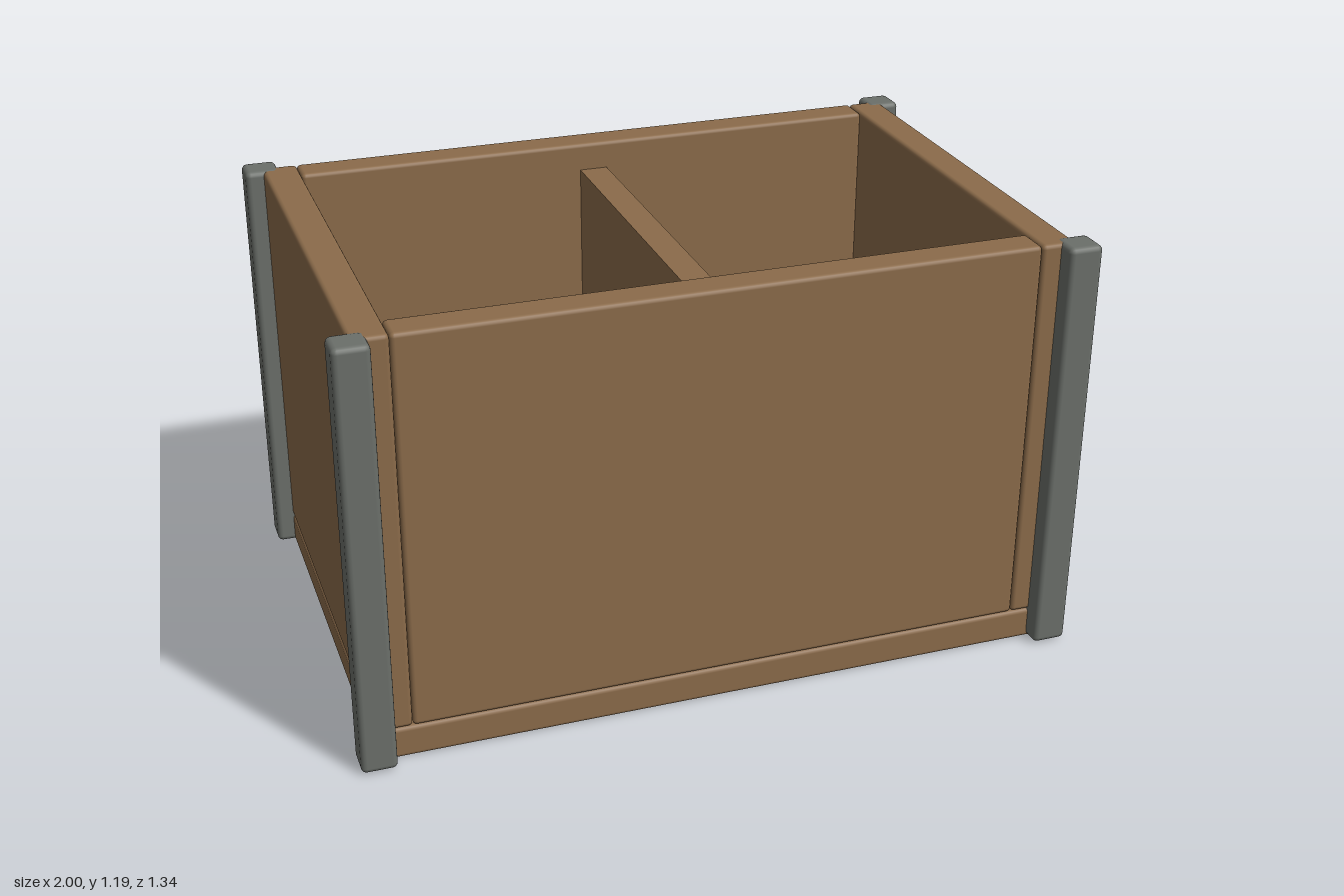
import * as THREE from 'three';
import { RoundedBoxGeometry } from 'three/addons/geometries/RoundedBoxGeometry.js';

const wood = new THREE.MeshStandardMaterial({ color: 0x8b6b4a });
const metal = new THREE.MeshStandardMaterial({ color: 0x6b6f6a });
const pale = new THREE.MeshStandardMaterial({ color: 0xc2ac82 });

export function createModel() {
  const crate = new THREE.Group();
  crate.name = 'dividedCrate';

  // Box given by its min and max on each axis; radius 0 keeps sharp edges
  const block = (name, material, [x0, x1], [y0, y1], [z0, z1], radius) => {
    const size = [x1 - x0, y1 - y0, z1 - z0];
    const geometry = radius
      ? new RoundedBoxGeometry(...size, 2, radius)
      : new THREE.BoxGeometry(...size);
    const mesh = new THREE.Mesh(geometry, material);
    mesh.name = name;
    mesh.position.set((x0 + x1) / 2, (y0 + y1) / 2, (z0 + z1) / 2);
    crate.add(mesh);
  };
  // Range mirrored to the negative side when s is -1
  const side = (s, a, b) => (s > 0 ? [a, b] : [-b, -a]);

  // Floor slab and centre partition
  block('base', wood, [-0.95, 0.95], [0, 0.09], [-0.62, 0.62], 0.012);
  block('divider', wood, [-0.04, 0.04], [0.09, 1.11], [-0.522, 0.522], 0);

  for (const s of [1, -1]) {
    const lr = s > 0 ? 'left' : 'right';
    const fb = s > 0 ? 'front' : 'back';
    // Walls: the long panels sit between the end panels
    block(lr + 'Wall', wood, side(s, 0.852, 0.95), [0.09, 1.188], [-0.62, 0.62], 0.012);
    block(fb + 'Wall', wood, [-0.852, 0.852], [0.09, 1.188], side(s, 0.525, 0.62), 0.012);
    // Contents of each compartment
    block(lr + 'Filling', pale, side(s, 0.12, 0.82), [0.09, 0.68], [-0.445, 0.445], 0);
    // Corner posts
    for (const t of [1, -1]) {
      block(lr + (t > 0 ? 'Front' : 'Back') + 'Post', metal,
        side(s, 0.905, 1), [0.005, 1.19], side(t, 0.578, 0.67), 0.015);
    }
  }
  return crate;
}
